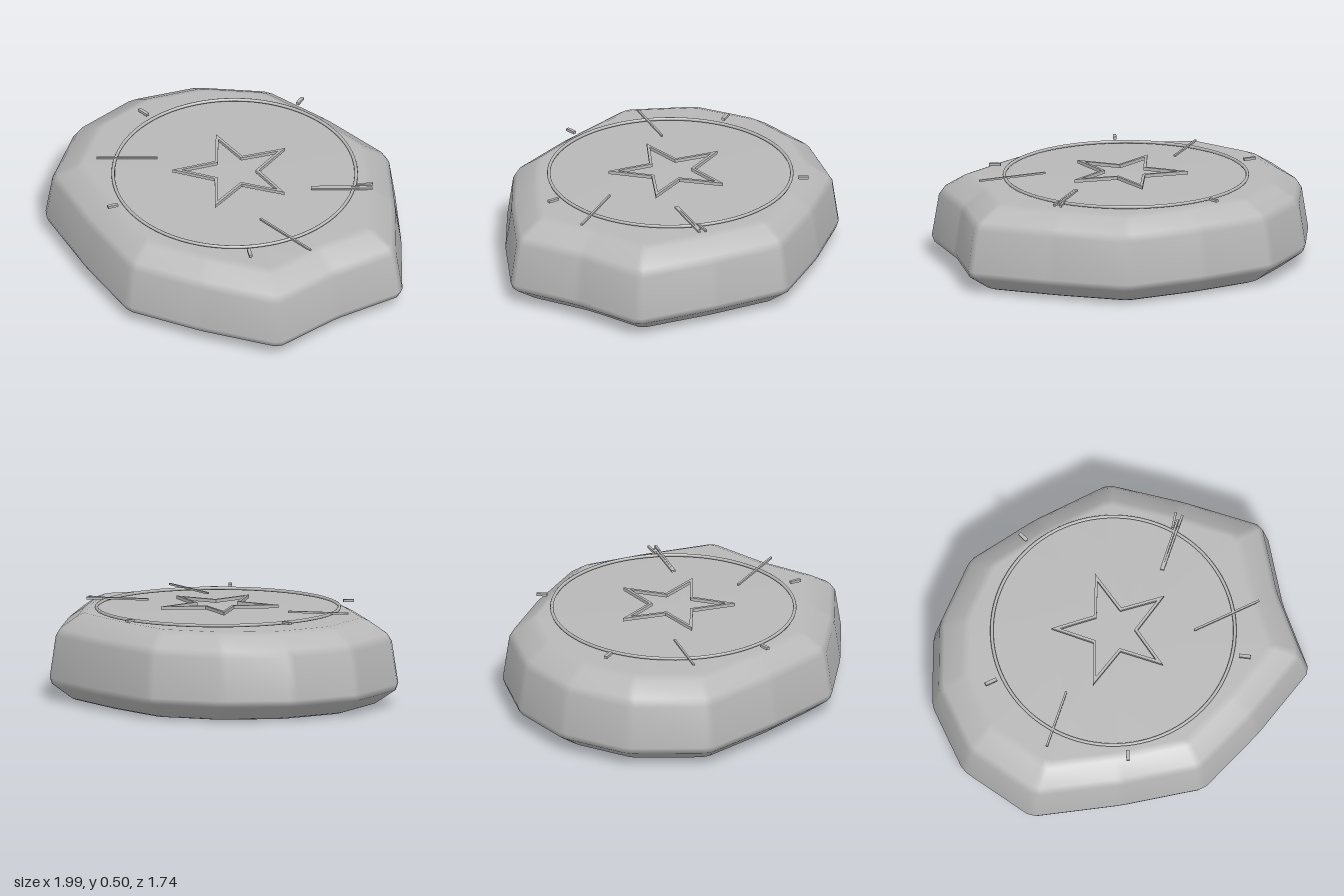
import * as THREE from 'three';

const grey = new THREE.MeshStandardMaterial({ color: 0xb8b8b8 });
grey.name = 'stoneGrey';

// Plan outline [x, z] at the widest height
const OUTLINE = [
  [0.25, -0.88], [0.62, -0.66], [0.995, -0.4], [0.96, 0], [0.985, 0.4], [0.62, 0.66], [0.25, 0.875],
  [-0.2, 0.835], [-0.68, 0.755], [-0.95, 0.4], [-1, 0], [-0.88, -0.37], [-0.61, -0.68], [-0.2, -0.8],
].map(([x, z]) => new THREE.Vector2(x, z));

// Stacked levels [y, scale], with close pairs as softened edges
const LEVELS = [
  [0, 0.845], [0.01, 0.875], [0.085, 0.985], [0.12, 0.998],
  [0.345, 0.962], [0.385, 0.935], [0.448, 0.835], [0.465, 0.79],
];

// Split every corner in two to leave a narrow bevel
function bevelOutline(points, size) {
  const n = points.length;
  return points.flatMap((p, i) => [points[(i + n - 1) % n], points[(i + 1) % n]]
    .map((q) => p.clone().lerp(q, size / p.distanceTo(q))));
}

function slabGeometry() {
  const loop = bevelOutline(OUTLINE, 0.025);
  const n = loop.length;
  const pos = [];
  const index = [];
  for (const [y, s] of LEVELS) for (const p of loop) pos.push(p.x * s, y, p.y * s);
  const top = (LEVELS.length - 1) * n;
  const bottomCentre = pos.length / 3;
  pos.push(0, LEVELS[0][0], 0, 0, LEVELS[LEVELS.length - 1][0], 0);
  for (let i = 0; i < n; i++) {
    const k = (i + 1) % n;
    for (let r = 0; r < top; r += n) {
      index.push(r + i, r + n + i, r + n + k, r + i, r + n + k, r + k);
    }
    index.push(bottomCentre, i, k, bottomCentre + 1, top + k, top + i);
  }
  const geo = new THREE.BufferGeometry();
  geo.setAttribute('position', new THREE.Float32BufferAttribute(pos, 3));
  geo.setIndex(index);
  geo.computeVertexNormals();
  return geo;
}

function starPoints(scale) {
  return Array.from({ length: 10 }, (_, i) => {
    const r = (i % 2 ? 0.13 : 0.33) * scale;
    const a = Math.PI / 2 + (i * Math.PI) / 5;
    return new THREE.Vector2(r * Math.cos(a), r * Math.sin(a));
  });
}

export function createModel() {
  const model = new THREE.Group();
  model.name = 'starDial';
  const add = (name, geo, x = 0, y = 0, z = 0) => {
    const mesh = new THREE.Mesh(geo, grey);
    mesh.name = name;
    mesh.position.set(x, y, z);
    model.add(mesh);
    return mesh;
  };

  add('slab', slabGeometry());

  // Raised circle on the face
  add('faceRing', new THREE.TorusGeometry(0.648, 0.009, 8, 96).rotateX(Math.PI / 2), 0.012, 0.481, 0);

  // Star outline
  const star = new THREE.Shape(starPoints(1));
  star.holes.push(new THREE.Path(starPoints(0.86)));
  const starGeo = new THREE.ExtrudeGeometry(star, { depth: 0.018, bevelEnabled: false });
  add('starOutline', starGeo.rotateX(-Math.PI / 2), 0.012, 0.486, 0);

  // Thin bars laid flat between two plan points
  const bar = (name, [x1, z1, x2, z2], width, height, y) => {
    const geo = new THREE.BoxGeometry(Math.hypot(x2 - x1, z2 - z1), height, width);
    const mesh = add(name, geo, (x1 + x2) / 2, y, (z1 + z2) / 2);
    mesh.rotation.y = -Math.atan2(z2 - z1, x2 - x1);
  };
  [
    [0.425, 0.125, 0.805, 0.067], [-0.33, 0.26, -0.52, 0.525],
    [0.355, -0.255, 0.525, -0.5], [0.365, -0.25, 0.55, -0.51],
  ].forEach((b, i) => bar(`rayBar${i + 1}`, b, 0.011, 0.01, 0.488));
  [[0.485, -0.465, 0.525, -0.54], [0.515, -0.46, 0.555, -0.515]]
    .forEach((b, i) => bar(`rayFletch${i + 1}`, b, 0.012, 0.012, 0.49));
  [
    [-0.305, -0.67, -0.28, -0.62], [-0.73, 0.095, -0.665, 0.085],
    [0.61, 0.335, 0.667, 0.36], [-0.115, 0.675, -0.129, 0.73],
  ].forEach((b, i) => bar(`tickMark${i + 1}`, b, 0.018, 0.014, 0.491));

  return model;
}
